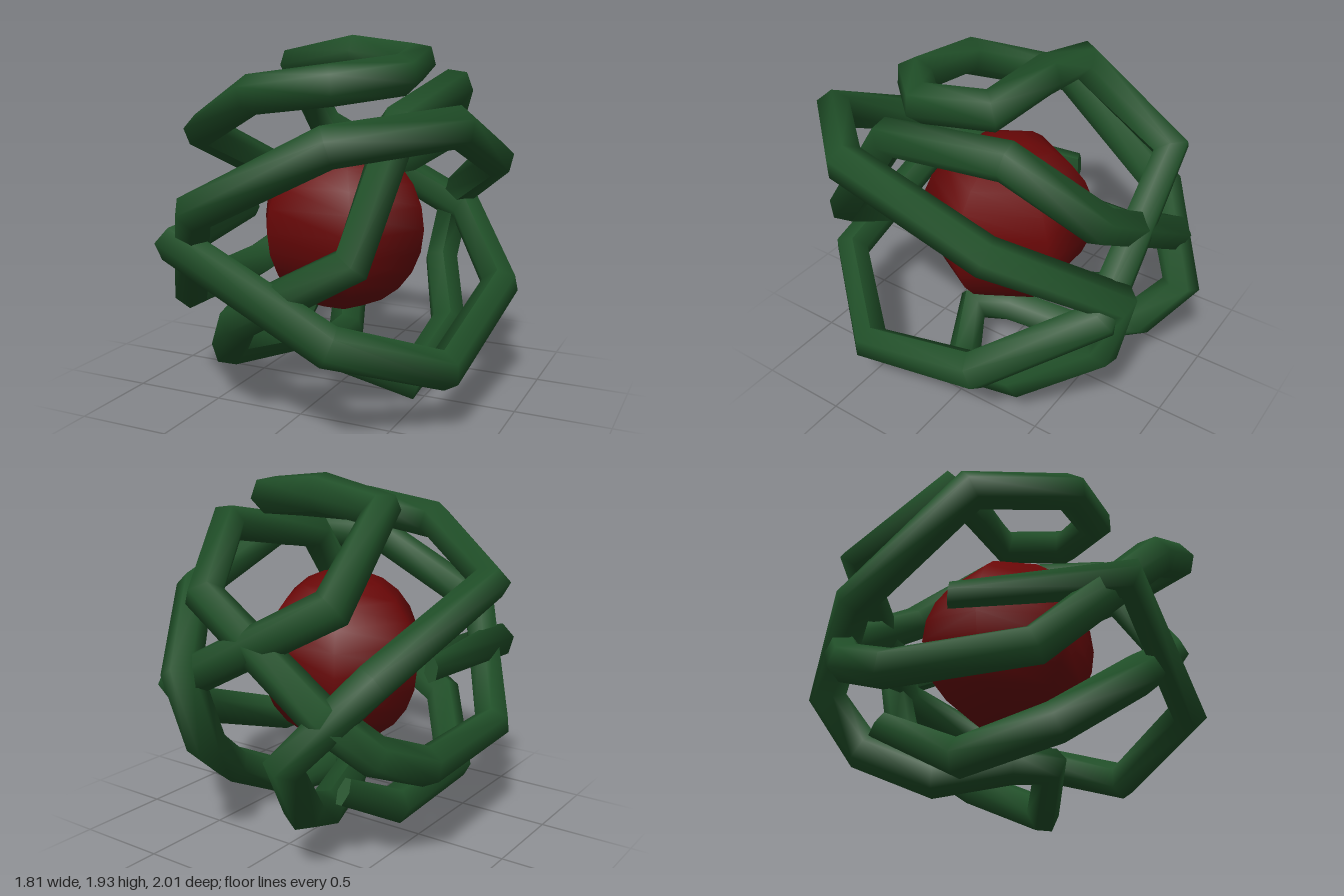
import * as THREE from 'three';

// Curve through given points whose rings fall exactly on the corners
class BentPath extends THREE.Curve {
  constructor(points) {
    super();
    this.points = points;
  }
  getPointAt(u, target = new THREE.Vector3()) {
    return target.copy(this.points[Math.round(u * (this.points.length - 1))]);
  }
  getPoint(t, target) {
    return this.getPointAt(t, target);
  }
  // Average direction of the two neighbouring segments
  getTangentAt(u, target = new THREE.Vector3()) {
    const p = this.points, n = p.length - 1, i = Math.round(u * n);
    target.set(0, 0, 0);
    if (i > 0) target.add(p[i].clone().sub(p[i - 1]).normalize());
    if (i < n) target.add(p[i + 1].clone().sub(p[i]).normalize());
    return target.normalize();
  }
}

// One long vine winding around the ball, from the lower left tail to the left tip
const VINE = [
  // tail and lower front
  [-0.39, 0.42, -0.55], [-0.4, 0.19, -0.1], [-0.47, 0.28, 0.42], [-0.2, 0.57, 0.76],
  // up the front, over the right side and down the back
  [0.43, 0.93, 0.81], [0.49, 1.53, 0.4], [0.52, 1.66, -0.33], [0.33, 1.35, -0.73],
  [-0.42, 0.88, -0.78], [-0.62, 0.68, -0.62], [-0.73, 0.56, -0.33], [-0.71, 0.57, 0.41],
  // across the upper front to the right side
  [-0.35, 1.12, 0.905], [0.35, 1.47, 0.905], [0.79, 1.53, 0.42], [0.75, 1.28, -0.37],
  // down the back and under the ball
  [0.37, 0.98, -0.87], [0.32, 0.59, -0.77], [0.5, 0.31, -0.38], [0.42, 0.1, 0.05],
  [0.1, 0.26, 0.2], [-0.03, 0.25, 0.03], [-0.13, 0.19, -0.35], [-0.26, 0.34, -0.7],
  // up the back left to the top loop
  [-0.31, 0.65, -0.91], [-0.6, 1.03, -0.62], [-0.81, 1.41, 0.12], [-0.28, 1.65, 0.47],
  [0.17, 1.71, 0.48], [0.43, 1.75, 0.22], [0.38, 1.8, -0.15], [0, 1.84, -0.2],
  [-0.37, 1.77, -0.2],
  // last turn, down the back and across the lower front
  [-0.44, 1.38, -0.71], [0.45, 0.9, -0.82], [0.81, 0.59, -0.33], [0.75, 0.34, 0.42],
  [0.35, 0.55, 0.89], [-0.52, 0.93, 0.82], [-0.6, 0.97, -0.08],
].map((p) => new THREE.Vector3(...p));

const RADIUS = 0.104, SIDES = 6, RING = SIDES + 1;

export function createModel() {
  const group = new THREE.Group();
  const green = new THREE.MeshStandardMaterial({ color: 0x204f28, side: THREE.DoubleSide });
  const red = new THREE.MeshStandardMaterial({ color: 0x690707 });
  const add = (name, geometry, material) => {
    const mesh = new THREE.Mesh(geometry, material);
    mesh.name = name;
    group.add(mesh);
    return mesh;
  };

  // Ball at the centre
  add('ball', new THREE.SphereGeometry(0.475, 6, 12), red).position.set(0.01, 0.935, 0.01);

  // Vine
  const last = VINE.length - 1;
  const tube = new THREE.TubeGeometry(new BentPath(VINE), last, RADIUS, SIDES, false);
  const pos = tube.attributes.position;

  // Both ends are flattened to thin blades and closed by a cap on their ring
  for (const ring of [0, last]) {
    const centre = VINE[ring];
    const cap = new THREE.CircleGeometry(RADIUS, SIDES);
    const p = cap.attributes.position;
    p.setXYZ(0, ...centre.toArray());
    for (let i = 0; i < RING; i++) {
      const k = ring * RING + i;
      pos.setX(k, centre.x + (pos.getX(k) - centre.x) * 0.35);
      pos.setY(k, centre.y + (pos.getY(k) - centre.y) * 0.7);
      p.setXYZ(i + 1, pos.getX(k), pos.getY(k), pos.getZ(k));
    }
    cap.computeVertexNormals();
    add('vineEnd', cap, green);
  }
  tube.computeVertexNormals();
  add('vine', tube, green);
  return group;
}
